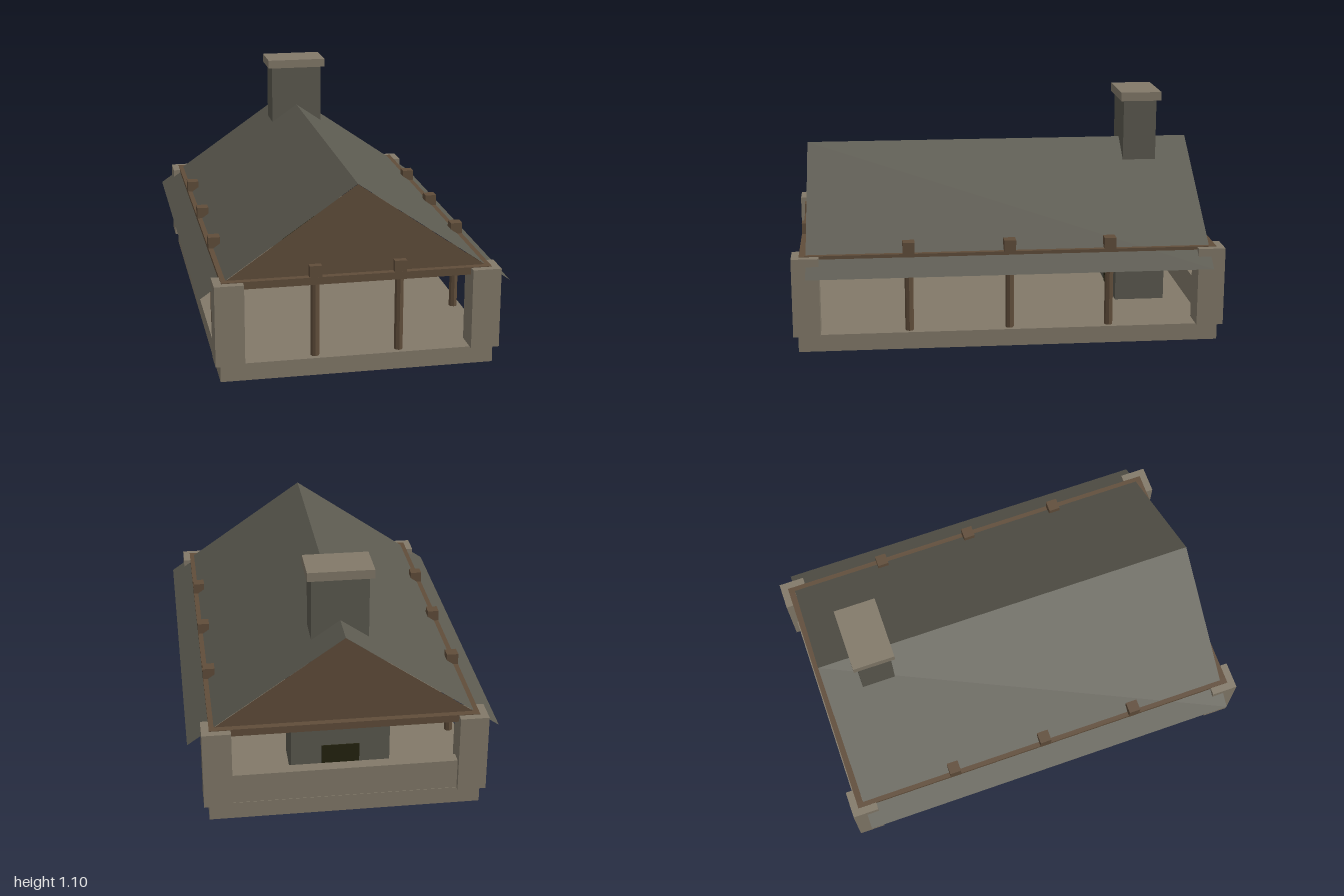
import * as THREE from 'three';

export function createModel() {
  const model = new THREE.Group();
  model.name = 'openPavilion';

  const material = (name, color, side = THREE.FrontSide) => {
    const m = new THREE.MeshStandardMaterial({ color, side });
    m.name = name;
    return m;
  };
  const stone = material('pale stone', 0x827969);
  const slate = material('grey slate', 0x5b594f, THREE.DoubleSide);
  const wood = material('brown timber', 0x604d3a, THREE.DoubleSide);
  const soot = material('dark hearth', 0x24230f);

  const add = (name, geometry, mat, x = 0, y = 0, z = 0) => {
    const mesh = new THREE.Mesh(geometry, mat);
    mesh.name = name;
    mesh.position.set(x, y, z);
    model.add(mesh);
    return mesh;
  };
  // Box given by its limits on each axis
  const box = (name, mat, [x0, x1], [y0, y1], [z0, z1]) =>
    add(name, new THREE.BoxGeometry(x1 - x0, y1 - y0, z1 - z0), mat,
      (x0 + x1) / 2, (y0 + y1) / 2, (z0 + z1) / 2);

  // Floor slab and low rear wall
  box('floorSlab', stone, [-0.617, 0.617], [0, 0.08], [-0.978, 0.978]);
  box('rearWall', stone, [-0.52, 0.52], [0.08, 0.222], [-0.976, -0.92]);

  // Corner pillars
  for (const sx of [-1, 1]) {
    for (const sz of [-1, 1]) {
      add('cornerPillar', new THREE.BoxGeometry(0.13, 0.37, 0.125), stone,
        sx * 0.575, 0.265, sz * 0.9375);
    }
  }

  // Ring of roof beams
  for (const s of [-1, 1]) {
    add('sideBeam', new THREE.BoxGeometry(0.03, 0.034, 1.93), wood, s * 0.59, 0.436, 0);
    add('endBeam', new THREE.BoxGeometry(1.15, 0.034, 0.03), wood, 0, 0.436, s * 0.95);
  }

  // Posts with square blocks on top
  const post = (x, z) => {
    add('post', new THREE.CylinderGeometry(0.02, 0.02, 0.36, 8).toNonIndexed(), wood, x, 0.26, z)
      .geometry.computeVertexNormals();
    add('postBlock', new THREE.BoxGeometry(0.055, 0.085, 0.055), wood, x, 0.4625, z);
  };
  for (const s of [-1, 1]) {
    for (const z of [-0.466, 0, 0.466]) post(s * 0.578, z);
    post(s * 0.19, 0.937);
  }

  // Thin roof slopes
  const ridge = 0.857, eaveX = 0.702, eaveY = 0.37, end = 0.934;
  for (const s of [-1, 1]) {
    const slope = new THREE.PlaneGeometry(
      Math.hypot(eaveX, ridge - eaveY), end * 2);
    slope.rotateX(-Math.PI / 2);
    slope.rotateZ(-s * Math.atan2(ridge - eaveY, eaveX));
    add('roofSlope', slope, slate, s * eaveX / 2, (ridge + eaveY) / 2, 0);
  }

  // Timber gables
  const triangle = new THREE.Shape([
    new THREE.Vector2(-0.582, 0.451),
    new THREE.Vector2(0.582, 0.451),
    new THREE.Vector2(0, 0.856),
  ]);
  for (const s of [-1, 1]) {
    const gable = add('gable', new THREE.ShapeGeometry(triangle), wood, 0, 0, s * end);
    if (s < 0) gable.rotation.y = Math.PI;
  }

  // Fireplace, chimney and cap
  box('fireplace', slate, [-0.228, 0.228], [0.08, 0.6], [-0.8, -0.56]);
  box('chimney', slate, [-0.13, 0.13], [0.6, 1.062], [-0.762, -0.602]);
  box('chimneyCap', stone, [-0.15, 0.15], [1.06, 1.102], [-0.782, -0.585]);
  box('hearthOpening', soot, [-0.087, 0.087], [0.08, 0.24], [-0.804, -0.556]);

  return model;
}
